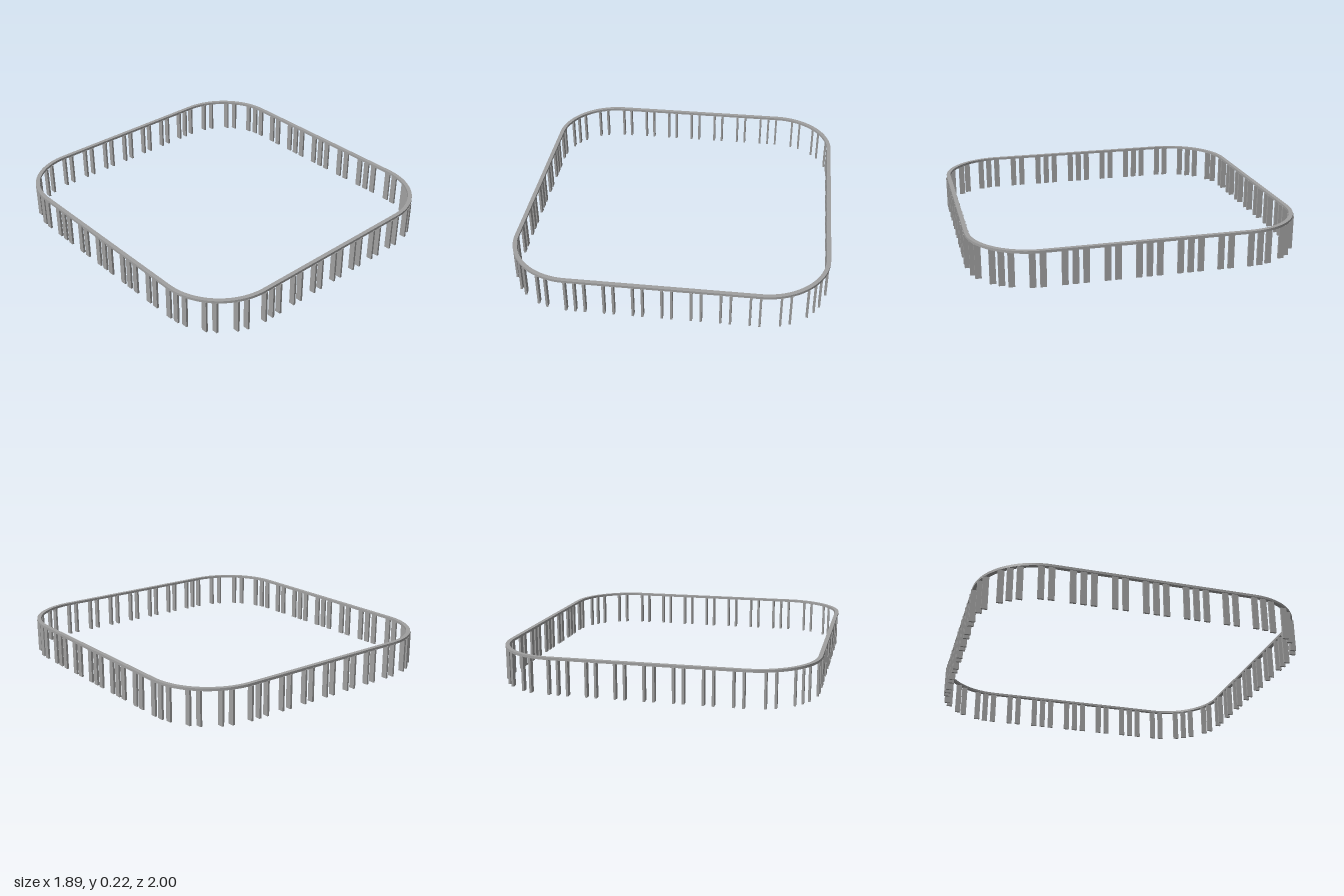
import * as THREE from 'three';

// centre line of the rail: straight walls joined by quarter-circle corners
const CX = 0.56, CZ = 0.607, R = 0.375;
const RAIL_W = 0.025, RAIL_Y = 0.204, TOP = 0.219;
const POST = [0.013, 0.206, 0.036];
const STEP_X = CX / 10, STEP_Z = CZ / 10, STEP_A = Math.PI / 20;

// rounded rectangle at a given offset from the centre line
function outline(target, offset) {
  const r = R + offset, q = Math.PI / 2;
  target.moveTo(CX + r, -CZ);
  target.lineTo(CX + r, CZ);
  target.absarc(CX, CZ, r, 0, q, false);
  target.absarc(-CX, CZ, r, q, 2 * q, false);
  target.absarc(-CX, -CZ, r, 2 * q, 3 * q, false);
  target.absarc(CX, -CZ, r, 3 * q, 4 * q, false);
  return target;
}

export function createModel() {
  const group = new THREE.Group();
  const grey = new THREE.MeshStandardMaterial({ color: 0xa0a0a0 });
  grey.name = 'grey';

  // flat top rail
  const shape = outline(new THREE.Shape(), RAIL_W / 2);
  shape.holes.push(outline(new THREE.Path(), -RAIL_W / 2));
  const railGeo = new THREE.ExtrudeGeometry(shape, { depth: TOP - RAIL_Y, bevelEnabled: false, curveSegments: 16 });
  railGeo.rotateX(-Math.PI / 2);
  railGeo.translate(0, RAIL_Y, 0);
  const rail = new THREE.Mesh(railGeo, grey);
  rail.name = 'topRail';
  group.add(rail);

  // post positions for the front and right halves, with regular gaps
  const spots = [];
  const addRun = (from, to, gaps, place) => {
    for (let i = from; i <= to; i++) if (!gaps.includes(i)) spots.push(place(i));
  };
  // front wall
  addRun(-10, 10, [-7, -4, -1, 2, 5, 8], i => [i * STEP_X, CZ + R]);
  // right wall
  addRun(-10, 10, [-9, -6, -2, 2, 5, 9], i => [CX + R, i * STEP_Z]);
  // front corner
  addRun(1, 9, [2, 6, 9], i => [CX + R * Math.cos(i * STEP_A), CZ + R * Math.sin(i * STEP_A)]);
  // back corner
  addRun(1, 9, [3, 6, 9], i => [CX + R * Math.cos(i * STEP_A), -CZ - R * Math.sin(i * STEP_A)]);

  // the other half is the same, turned half way round
  const posts = new THREE.Group();
  posts.name = 'posts';
  const postGeo = new THREE.BoxGeometry(...POST);
  for (const s of [1, -1]) {
    for (const [x, z] of spots) {
      const post = new THREE.Mesh(postGeo, grey);
      post.name = 'post';
      post.position.set(s * x, POST[1] / 2, s * z);
      posts.add(post);
    }
  }
  group.add(posts);
  return group;
}
